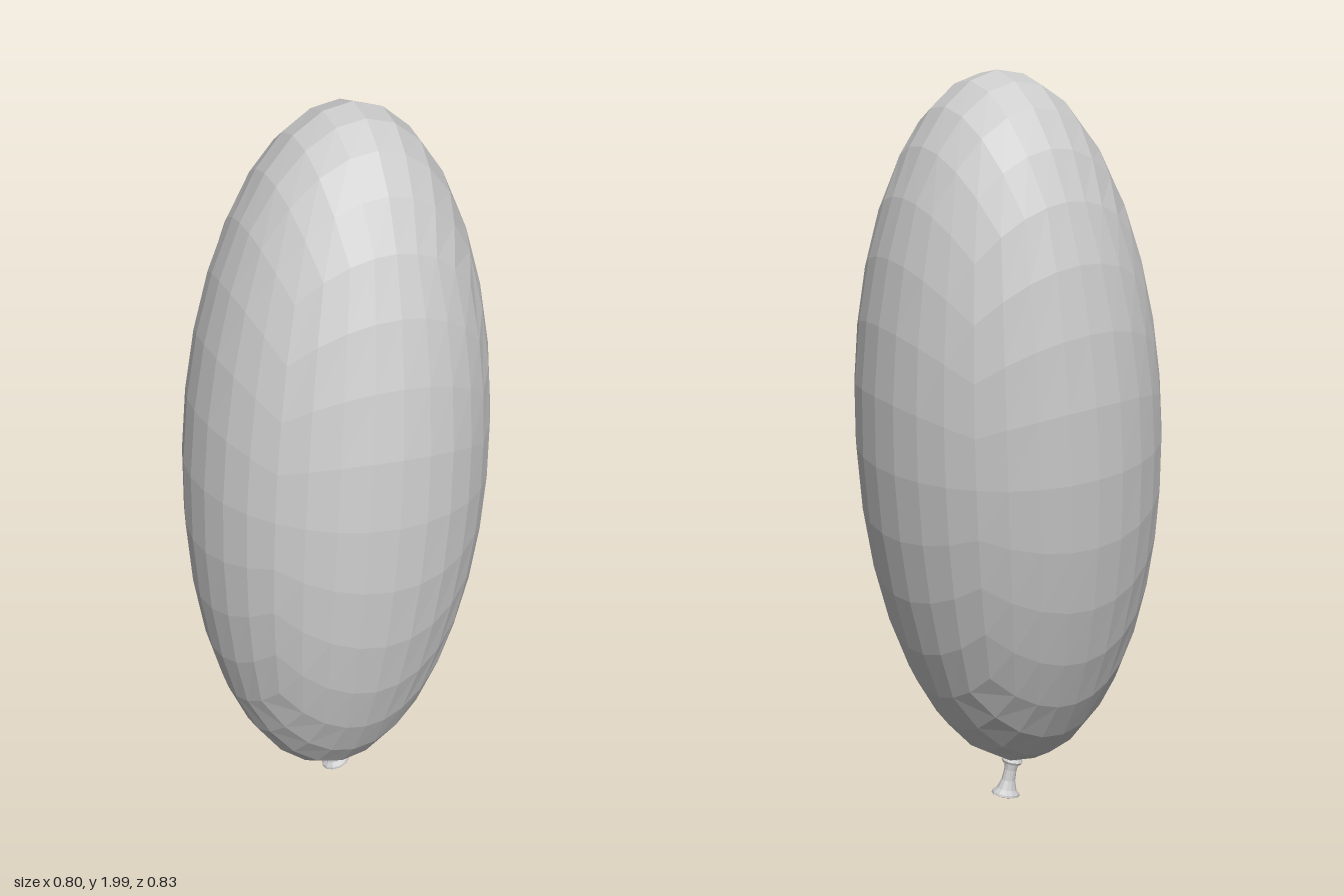
import * as THREE from 'three';

const material = new THREE.MeshStandardMaterial({
  color: 0xcccccc, flatShading: true, side: THREE.DoubleSide,
});

// A cube grid rounded into a sphere, with evenly spaced angles on every face.
function quadSphere(segments) {
  const geometry = new THREE.BoxGeometry(2, 2, 2, segments, segments, segments);
  const position = geometry.attributes.position;
  const spread = (t) => Math.tan(t * Math.PI / 4);
  const v = new THREE.Vector3();
  for (let i = 0; i < position.count; i++) {
    v.fromBufferAttribute(position, i);
    v.set(spread(v.x), spread(v.y), spread(v.z)).normalize();
    position.setXYZ(i, v.x, v.y, v.z);
  }
  geometry.computeVertexNormals();
  return geometry;
}

export function createModel() {
  const model = new THREE.Group();
  model.name = 'balloon';

  // Long inflated body, leaning slightly left and back
  const bodyGeometry = quadSphere(8).scale(0.396, 0.947, 0.411);
  const body = new THREE.Mesh(bodyGeometry, material);
  body.name = 'inflatedBody';
  body.position.y = 1.055;
  body.rotation.set(-0.07, 0, -0.08);
  model.add(body);

  // Tied end, tilted as one piece
  const tiedEnd = new THREE.Group();
  tiedEnd.name = 'tiedEnd';
  tiedEnd.position.set(-0.033, 0.117, 0.029);
  tiedEnd.rotation.z = 0.23;
  model.add(tiedEnd);

  // Open flared neck
  const profile = [
    [0.026, 0.02], [0.022, -0.005], [0.018, -0.03], [0.02, -0.06],
    [0.029, -0.085], [0.04, -0.096], [0.041, -0.102], [0.036, -0.104],
    [0.024, -0.086], [0.014, -0.06], [0, -0.045],
  ].map(([r, y]) => new THREE.Vector2(r, y)).reverse();
  const neck = new THREE.Mesh(new THREE.LatheGeometry(profile, 12), material);
  neck.name = 'flaredNeck';
  neck.scale.z = 0.87;
  tiedEnd.add(neck);

  // Rolled ring where the neck meets the body
  const ring = new THREE.Mesh(new THREE.TorusGeometry(0.022, 0.008, 6, 12), material);
  ring.name = 'knotRing';
  ring.rotation.x = Math.PI / 2;
  ring.position.y = -0.004;
  tiedEnd.add(ring);

  return model;
}
